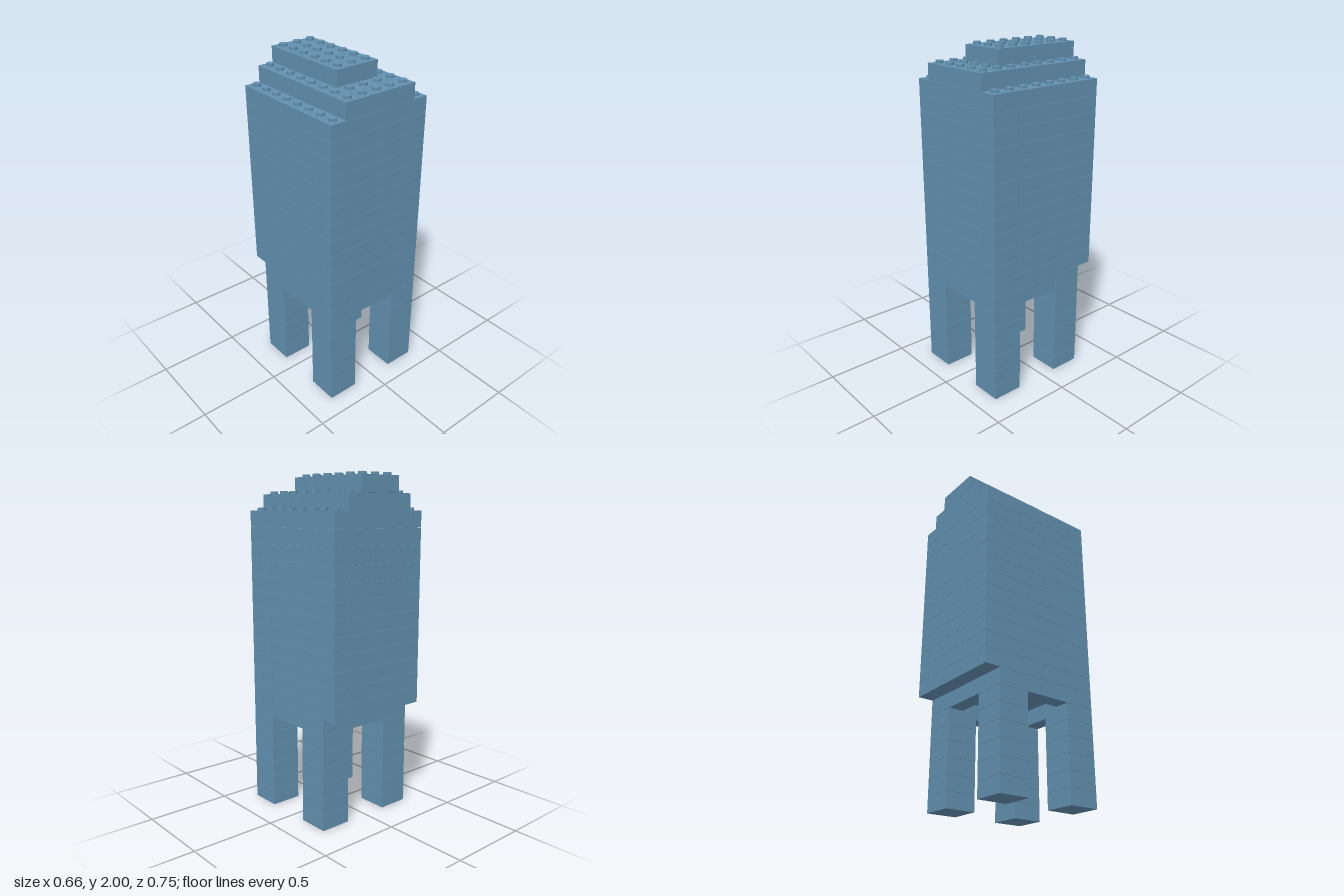
import * as THREE from 'three';

// Building grid: 7 cells wide (x), 8 cells deep (z), 21 layers high.
const P = 0.0945;      // cell size and layer height
const GAP = 0.002;     // hairline joint between bricks
const STUD_R = 0.0225, STUD_H = 0.0155;

export function createModel() {
  const blue = new THREE.MeshStandardMaterial({ color: 0x6290af });
  blue.name = 'steelBlue';
  const model = new THREE.Group();
  model.name = 'brickTower';

  const section = (name) => {
    const g = new THREE.Group();
    g.name = name;
    model.add(g);
    return g;
  };
  const cx = (i) => (i - 3.5) * P;
  const cz = (k) => (k - 4) * P;
  const cubeGeo = new THREE.BoxGeometry(1, 1, 1);
  const studGeo = new THREE.CylinderGeometry(STUD_R, STUD_R, STUD_H, 20);

  // One brick covers cells x0..x1, z0..z1 (z counted from the back) of a layer.
  const lay = (group, layer, bricks) => {
    for (const [x0, z0, x1, z1] of bricks) {
      const m = new THREE.Mesh(cubeGeo, blue);
      m.name = 'brick';
      m.scale.set((x1 - x0) * P - GAP, P - GAP / 2, (z1 - z0) * P - GAP);
      m.position.set(cx((x0 + x1) / 2), (layer + 0.5) * P, cz((z0 + z1) / 2));
      group.add(m);
    }
  };

  // Four legs of stacked 2 x 2 bricks
  const corners = { frontLeftLeg: [5, 6], frontRightLeg: [0, 6], backLeftLeg: [5, 1], backRightLeg: [0, 1] };
  for (const [name, [x, z]] of Object.entries(corners)) {
    const leg = section(name);
    for (let i = 0; i < 6; i++) lay(leg, i, [[x, z, x + 2, z + 2]]);
  }

  // Open ring frame resting on the legs
  lay(section('legFrame'), 6, [
    [0, 7, 6, 8], [6, 7, 7, 8], [6, 5, 7, 7], [6, 3, 7, 5], [6, 1, 7, 3],
    [0, 1, 6, 2], [0, 2, 1, 7],
  ]);

  // Body: bond alternates from layer to layer
  const body = section('body');
  const bondA = [[0, 0, 4, 7], [4, 0, 6, 7]];
  const bondB = [[0, 0, 6, 4], [0, 4, 6, 7]];
  const sideColumn = [[6, 0, 7, 6], [6, 6, 7, 7]];
  lay(body, 7, [...bondB, ...sideColumn, [0, 7, 1, 8], [1, 7, 7, 8]]);
  for (let i = 8; i < 18; i++) {
    lay(body, i, [...(i % 2 ? bondB : bondA), ...sideColumn, [0, 7, 6, 8], [6, 7, 7, 8]]);
  }
  lay(body, 18, [
    [0, 0, 1, 2], [0, 2, 1, 6], [0, 6, 1, 7], [0, 7, 6, 8],
    [1, 0, 6, 7], [6, 0, 7, 6], [6, 6, 7, 8],
  ]);

  // Stepped top
  lay(section('lowerStep'), 19, [
    [1, 0, 5, 4], [1, 4, 5, 5], [1, 5, 5, 7], [1, 7, 5, 8],
    [5, 0, 6, 4], [5, 4, 6, 5], [5, 5, 6, 8],
  ]);
  lay(section('upperStep'), 20, [
    [2, 0, 5, 2], [2, 2, 3, 5], [3, 2, 5, 4], [3, 4, 5, 5], [2, 5, 5, 6],
  ]);

  // Studs on every exposed cell
  const studs = section('studs');
  for (let i = 0; i < 7; i++) {
    for (let k = 0; k < 8; k++) {
      const layers = i >= 2 && i < 5 && k < 6 ? 21 : i >= 1 && i < 6 ? 20 : 19;
      const s = new THREE.Mesh(studGeo, blue);
      s.name = 'stud';
      s.position.set(cx(i + 0.5), layers * P + STUD_H / 2, cz(k + 0.5));
      studs.add(s);
    }
  }
  return model;
}
